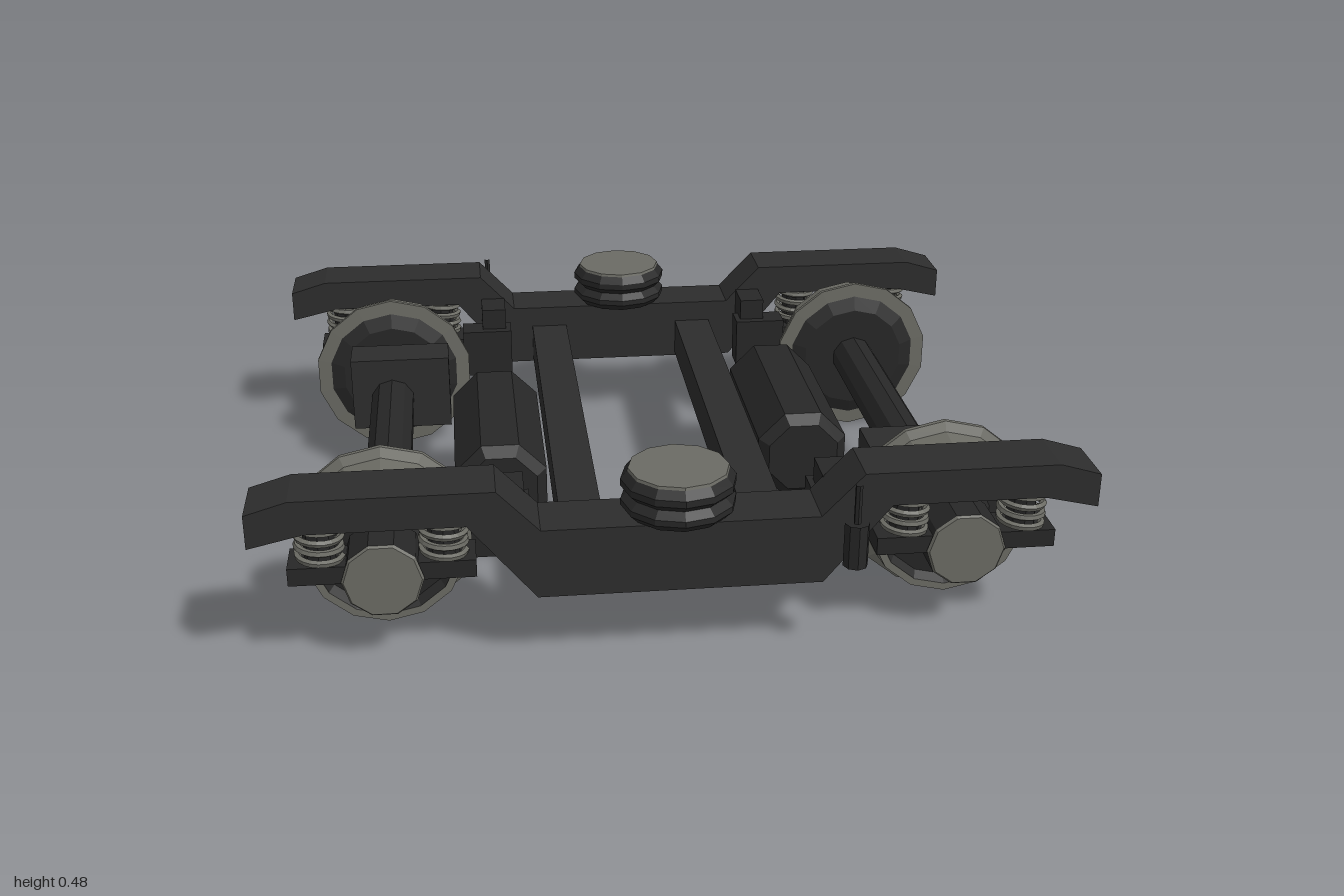
import * as THREE from 'three';

const mat = (name, color, extra = {}) => {
  const m = new THREE.MeshStandardMaterial({ color, flatShading: true, ...extra });
  m.name = name;
  return m;
};

export function createModel() {
  const frameDark = mat('frameDark', 0x2d2d2d);
  const gearDark = mat('gearDark', 0x272727, { side: THREE.DoubleSide });
  const tubeDark = mat('tubeDark', 0x272727); // one-sided, for open tubes
  const steel = mat('steel', 0x6b6b64, { side: THREE.DoubleSide });
  const AX = 0.7, AY = 0.232; // axle position

  const add = (parent, name, geo, material, x = 0, y = 0, z = 0) => {
    const m = new THREE.Mesh(geo, material);
    m.name = name;
    m.position.set(x, y, z);
    parent.add(m);
    return m;
  };
  // Box given by its limits
  const box = (parent, name, material, x0, x1, y0, y1, z0, z1) =>
    add(parent, name, new THREE.BoxGeometry(x1 - x0, y1 - y0, z1 - z0), material,
      (x0 + x1) / 2, (y0 + y1) / 2, (z0 + z1) / 2);
  const lathe = (points, sides) =>
    new THREE.LatheGeometry(points.map(p => new THREE.Vector2(p[0], p[1])), sides);
  // Lathe whose axis lies along z
  const latheZ = (points, sides, turn = 0) => lathe(points, sides).rotateY(turn).rotateX(Math.PI / 2);

  // Swan-necked side frame profile
  const half = [[0.34, 0.19], [0.5, 0.385], [0.87, 0.385], [1, 0.355],
    [1, 0.44], [0.9, 0.47], [0.43, 0.47], [0.33, 0.365]];
  const outline = [...half, ...half.map(([x, y]) => [-x, y]).reverse()];
  const frameGeo = new THREE.ExtrudeGeometry(
    new THREE.Shape(outline.map(p => new THREE.Vector2(p[0], p[1]))),
    { depth: 0.148, bevelEnabled: false });

  // Coil spring path
  const coil = [];
  for (let i = 0; i <= 40; i++) {
    const a = i / 40 * Math.PI * 8;
    coil.push(new THREE.Vector3(Math.cos(a) * 0.052, i / 40 * 0.105, Math.sin(a) * 0.052));
  }
  const coilGeo = new THREE.TubeGeometry(new THREE.CatmullRomCurve3(coil), 80, 0.009, 5);

  function wheelSet(parent) {
    add(parent, 'axle', new THREE.CylinderGeometry(0.062, 0.062, 1.28, 10).rotateX(Math.PI / 2), gearDark, AX, AY, 0);
    for (const s of [1, -1]) {
      const end = new THREE.Group();
      end.name = 'wheelEnd';
      end.position.set(AX, AY, 0);
      if (s < 0) end.rotation.y = Math.PI;
      parent.add(end);
      // Wheel: bright tread and flange, dark dished sides
      add(end, 'wheelTread', latheZ([[0.19, 0.505], [0.23, 0.507], [0.23, 0.52], [0.206, 0.532],
        [0.199, 0.615], [0.18, 0.615]], 14), steel);
      add(end, 'wheelInnerFace', latheZ([[0.05, 0.49], [0.15, 0.49], [0.195, 0.507]], 14), gearDark);
      add(end, 'wheelOuterFace', latheZ([[0.183, 0.615], [0.165, 0.59], [0.11, 0.595], [0.075, 0.625], [0.04, 0.65]], 14), gearDark);
      // Axle box with bright end cap
      add(end, 'axleBox', latheZ([[0, 0.643], [0.097, 0.643], [0.097, 0.768]], 10, Math.PI / 10), gearDark);
      add(end, 'axleCap', latheZ([[0.097, 0.768], [0.092, 0.774], [0, 0.774]], 10, Math.PI / 10), steel);
      // Spring beam and coils
      box(end, 'springBeam', gearDark, -0.22, 0.22, -0.005, 0.04, 0.66, 0.765);
      for (const x of [-0.145, 0.145]) {
        add(end, 'coilSpring', coilGeo, steel, x, 0.045, 0.717);
        add(end, 'springCore', new THREE.CylinderGeometry(0.037, 0.037, 0.115, 8), gearDark, x, 0.097, 0.717);
      }
    }
  }

  function brakes(parent) {
    for (const s of [1, -1]) {
      const z = (a, b) => s > 0 ? [a, b] : [-b, -a];
      box(parent, 'brakeBlock', gearDark, 0.345, 0.49, 0.2, 0.34, ...z(0.54, 0.62));
      box(parent, 'brakeHanger', gearDark, 0.36, 0.43, 0.28, 0.4, ...z(0.565, 0.67));
    }
  }

  function airSpring(parent) {
    add(parent, 'airSpringBellows', lathe([[0.1, 0.36], [0.118, 0.365], [0.138, 0.385], [0.138, 0.4],
      [0.12, 0.418], [0.138, 0.435], [0.138, 0.452], [0.122, 0.472]], 12), gearDark, 0, 0, 0.737);
    add(parent, 'airSpringTop', lathe([[0.122, 0.472], [0.12, 0.479], [0, 0.479]], 12), steel, 0, 0, 0.737);
  }

  function buildHalf() {
    const h = new THREE.Group();
    h.name = 'bogieHalf';
    add(h, 'sideFrame', frameGeo, frameDark, 0, 0, 0.666);
    box(h, 'crossBeam', frameDark, 0.17, 0.275, 0.2, 0.305, -0.67, 0.67);
    airSpring(h);
    wheelSet(h);
    brakes(h);
    box(h, 'gearbox', frameDark, 0.535, 0.815, 0.145, 0.355, 0.305, 0.425);
    // Eight-sided air tank with chamfered ends
    add(h, 'airTank', latheZ([[0, -0.276], [0.1, -0.276], [0.128, -0.25], [0.128, 0.25], [0.1, 0.276], [0, 0.276]],
      8, Math.PI / 8), gearDark, 0.407, 0.235, -0.058);
    // Upright damper outside the frame, built from open tubes
    add(h, 'damperBody', new THREE.CylinderGeometry(0.03, 0.03, 0.112, 8, 1, true), tubeDark, 0.405, 0.312, 0.856);
    add(h, 'damperRod', new THREE.CylinderGeometry(0.009, 0.009, 0.1, 6, 1, true), tubeDark, 0.405, 0.415, 0.856);
    return h;
  }

  // Two halves, each the other turned half round
  const model = new THREE.Group();
  model.name = 'railBogie';
  const front = buildHalf(), back = buildHalf();
  back.rotation.y = Math.PI;
  model.add(front, back);
  return model;
}
